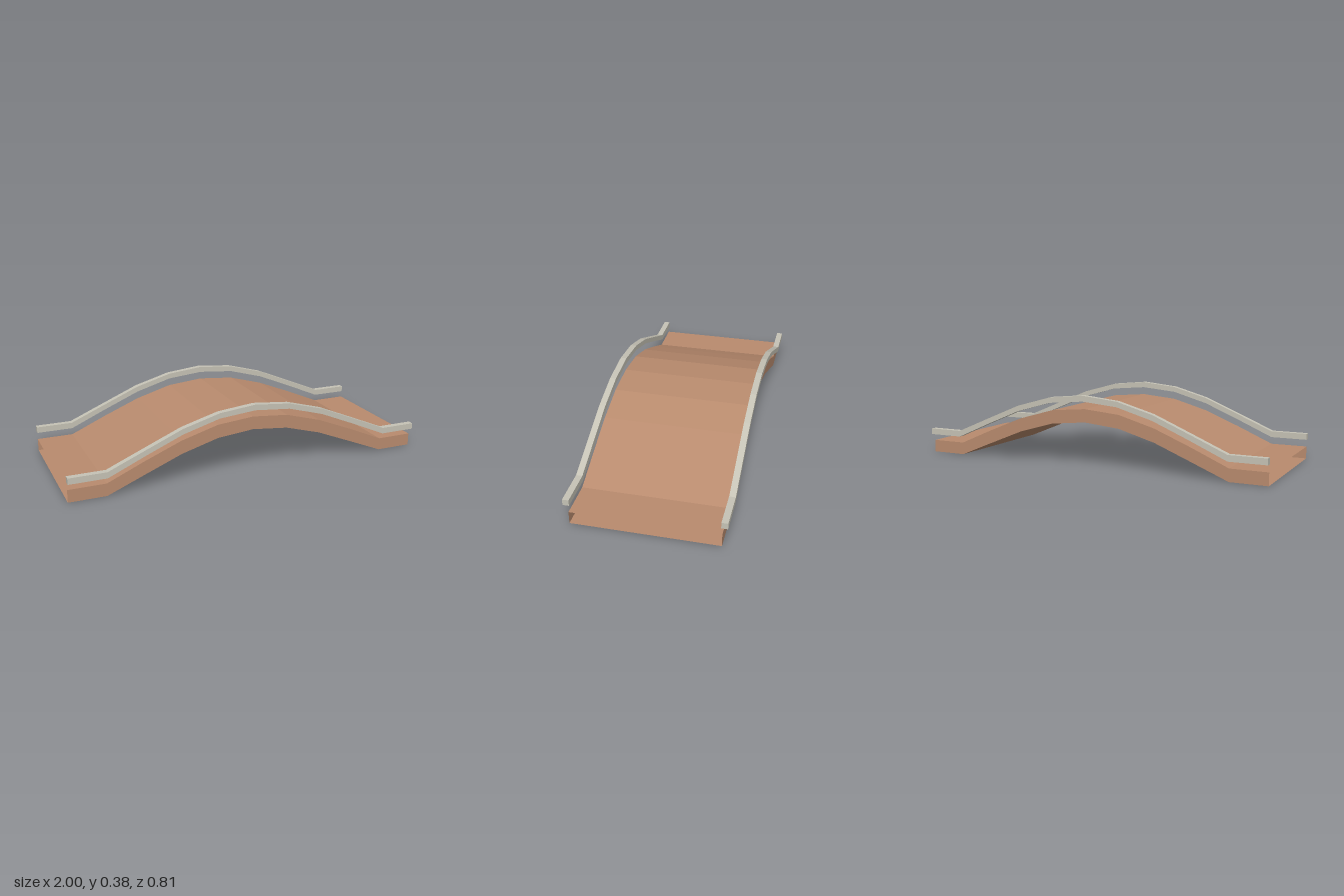
import * as THREE from 'three';

// Half profiles from the crown outwards: [x, bottom y, top y]
const DECK = [[0, 0.24, 0.311], [0.2, 0.22, 0.293], [0.4, 0.163, 0.236], [0.6, 0.082, 0.155], [0.8, 0, 0.068], [1, 0, 0.068]];
const RAIL = [[0, 0.354, 0.385], [0.2, 0.336, 0.365], [0.4, 0.279, 0.309], [0.6, 0.195, 0.225], [0.8, 0.107, 0.14], [1, 0.107, 0.14]];

// Mirror a half profile into a full one running from -x to +x
const fullProfile = (half) => [...half.slice(1).reverse().map(([x, b, t]) => [-x, b, t]), ...half];

// Rectangular tube through the profile stations, with open or closed ends
function archedBeam(half, z0, z1, closed) {
  const rings = fullProfile(half).map(([x, b, t]) => [[x, b, z0], [x, b, z1], [x, t, z1], [x, t, z0]]);
  const positions = [];
  const quad = (a, b, c, d) => positions.push(...a, ...b, ...c, ...a, ...c, ...d);
  for (let i = 0; i < rings.length - 1; i++) {
    for (let k = 0; k < 4; k++) {
      const n = (k + 1) % 4;
      quad(rings[i][k], rings[i + 1][k], rings[i + 1][n], rings[i][n]);
    }
  }
  if (closed) {
    const first = rings[0];
    const last = rings[rings.length - 1];
    quad(first[0], first[1], first[2], first[3]);
    quad(last[3], last[2], last[1], last[0]);
  }
  const geometry = new THREE.BufferGeometry();
  geometry.setAttribute('position', new THREE.Float32BufferAttribute(positions, 3));
  geometry.computeVertexNormals();
  return geometry;
}

export function createModel() {
  const clay = new THREE.MeshStandardMaterial({ color: 0xb98b6e, side: THREE.DoubleSide, flatShading: true });
  clay.name = 'clay brown';
  const stone = new THREE.MeshStandardMaterial({ color: 0xc6c3b6, flatShading: true });
  stone.name = 'pale stone';

  const bridge = new THREE.Group();
  bridge.name = 'archedBridge';

  // Hollow walkway, open at both ends
  const deck = new THREE.Mesh(archedBeam(DECK, -0.378, 0.378, false), clay);
  deck.name = 'deck';
  bridge.add(deck);

  // Handrails floating above each edge
  for (const [name, z] of [['frontRail', 0.3885], ['backRail', -0.3885]]) {
    const rail = new THREE.Mesh(archedBeam(RAIL, z - 0.0165, z + 0.0165, true), stone);
    rail.name = name;
    bridge.add(rail);
  }
  return bridge;
}
